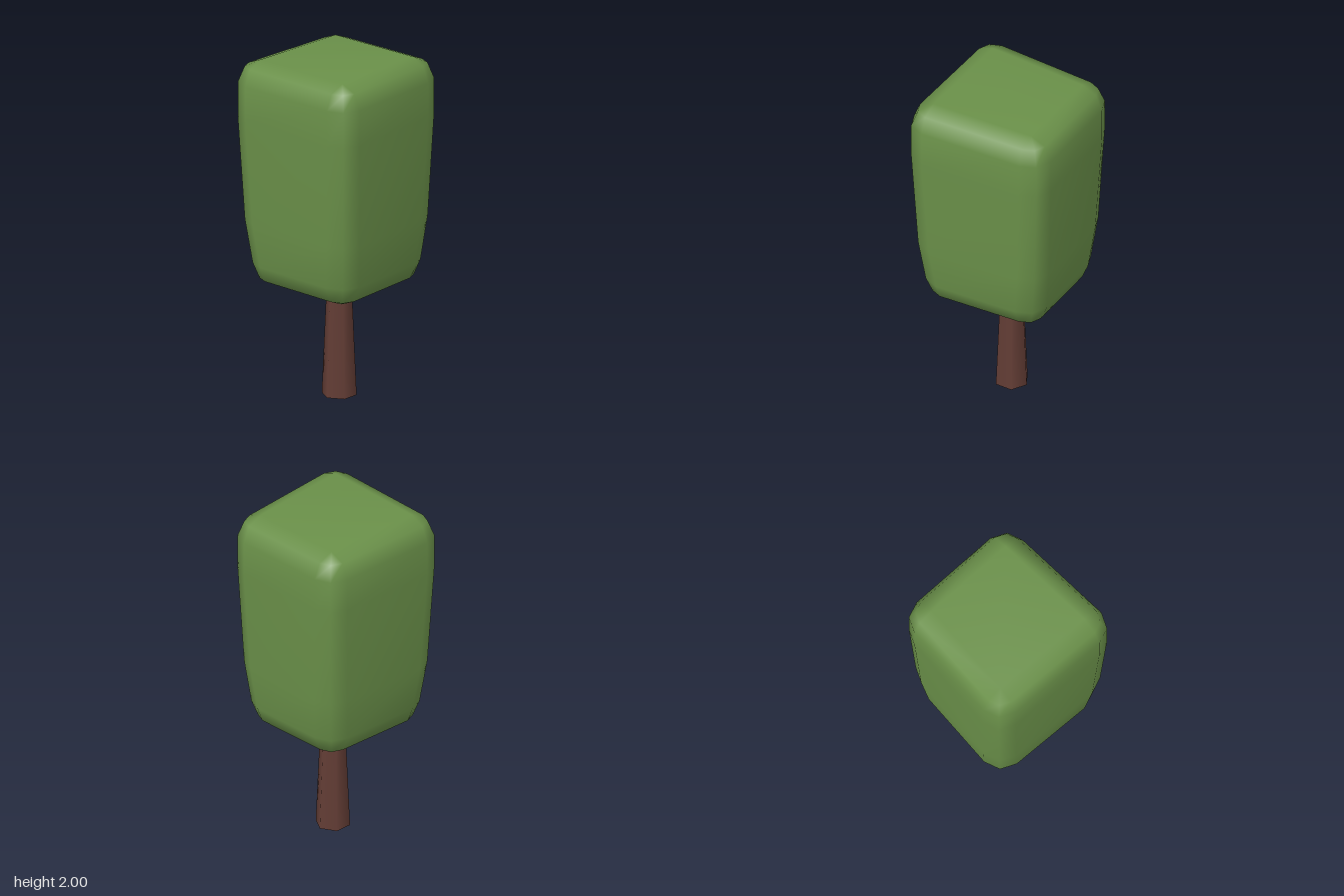
import * as THREE from 'three';
import { mergeVertices } from 'three/addons/utils/BufferGeometryUtils.js';

// Crown: a slightly skewed, rounded block that narrows towards the bottom
function crownGeometry() {
  const corners = [[-0.31, -0.31], [0.29, -0.295], [0.305, 0.265], [-0.31, 0.31]];
  const tilt = [-0.005, -0.012, -0.007, 0]; // uneven top heights per corner
  const R = 0.13, H = Math.SQRT1_2;
  // [core height, core scale, horizontal roundness, vertical roundness]
  const rings = [
    [0.79, 0.81, 0, -1], [0.79, 0.81, H, -H], [0.79, 0.81, 1, 0],
    [1.05, 0.91, 1, 0], [1.66, 1, 1, 0],
    [1.87, 1, 1, 0], [1.87, 1, H, H], [1.87, 1, 0, 1],
  ];
  const positions = [], index = [], N = 12;
  for (const [y, scale, out, up] of rings) {
    corners.forEach(([cx, cz], c) => {
      for (let k = 0; k < 3; k++) {
        const a = Math.PI + (c + k / 2) * Math.PI / 2;
        positions.push(
          cx * scale + R * out * Math.cos(a),
          y + R * up + (y > 1.8 ? tilt[c] : 0),
          cz * scale + R * out * Math.sin(a));
      }
    });
  }
  for (let i = 0; i < rings.length - 1; i++) {
    for (let j = 0; j < N; j++) {
      const a = i * N + j, b = i * N + (j + 1) % N;
      index.push(a, a + N, b, b, a + N, b + N);
    }
  }
  // Flat bottom and top
  const t = (rings.length - 1) * N;
  index.push(0, 3, 6, 0, 6, 9, t, t + 9, t + 6, t, t + 6, t + 3);
  let geo = new THREE.BufferGeometry();
  geo.setAttribute('position', new THREE.Float32BufferAttribute(positions, 3));
  geo.setIndex(index);
  geo = mergeVertices(geo, 1e-4);
  geo.computeVertexNormals();
  return geo;
}

export function createModel() {
  const leafGreen = new THREE.MeshStandardMaterial({ color: 0x6a9049 });
  const barkBrown = new THREE.MeshStandardMaterial({ color: 0x633d35 });
  const tree = new THREE.Group();
  tree.name = 'tree';

  const crown = new THREE.Mesh(crownGeometry(), leafGreen);
  crown.name = 'crown';

  // Six-sided tapered trunk, reaching a little into the crown
  const trunk = new THREE.Mesh(
    new THREE.CylinderGeometry(0.067, 0.1, 0.76, 6, 1, false, Math.PI / 2), barkBrown);
  trunk.position.set(0.006, 0.38, -0.006);
  trunk.name = 'trunk';

  tree.add(crown, trunk);
  return tree;
}
